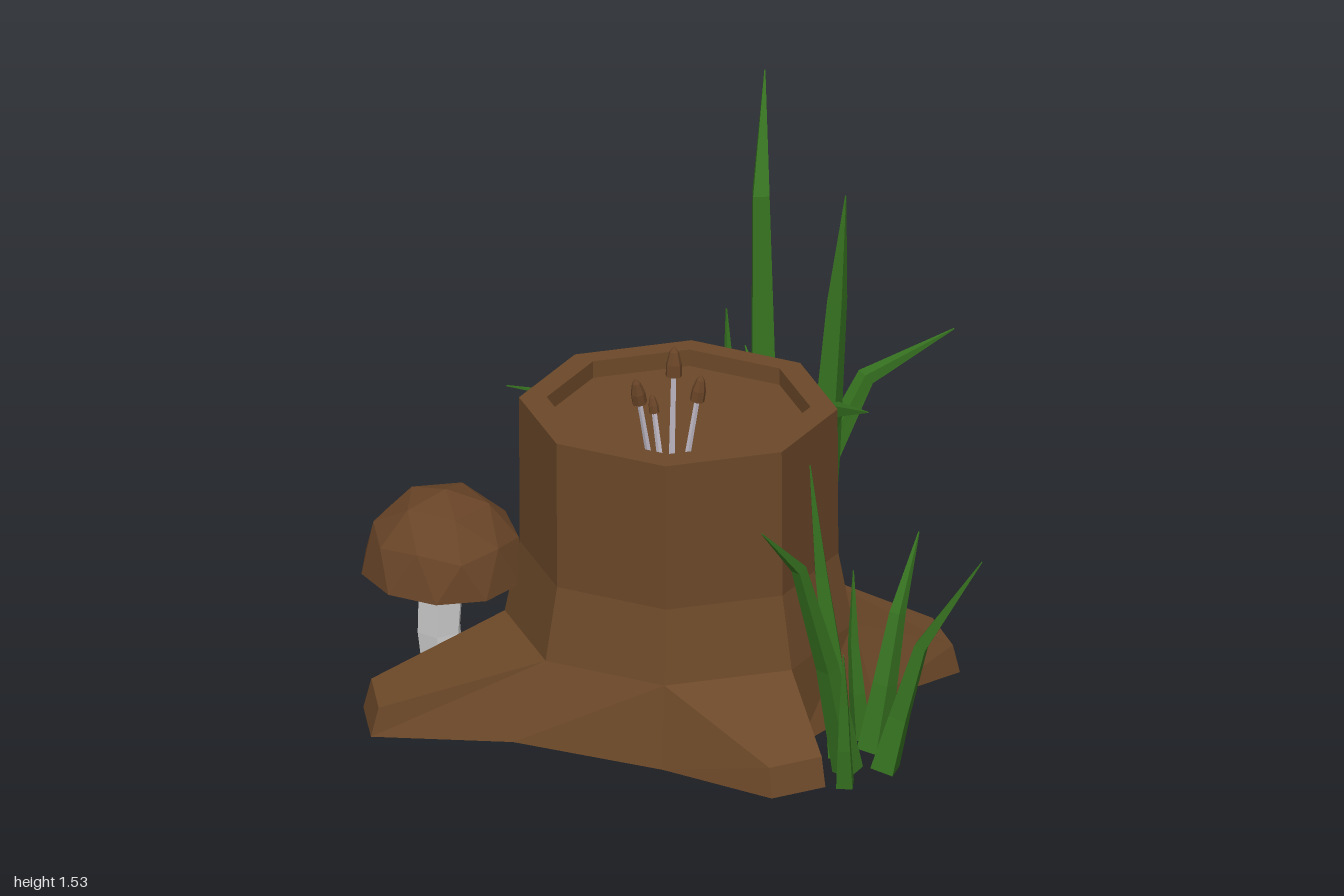
import * as THREE from 'three';

const bark = new THREE.MeshStandardMaterial({ color: 0x6d4929 });
bark.name = 'bark brown';
const capBrown = new THREE.MeshStandardMaterial({ color: 0x684427 });
capBrown.name = 'cap brown';
const stemGrey = new THREE.MeshStandardMaterial({ color: 0xcbcbcb });
stemGrey.name = 'stem grey';
const paleLilac = new THREE.MeshStandardMaterial({ color: 0xc4bdca });
paleLilac.name = 'pale lilac';
const grassGreen = new THREE.MeshStandardMaterial({ color: 0x367220 });
grassGreen.name = 'grass green';

const V = (x, y, z) => new THREE.Vector3(x, y, z);

// Flat-shaded geometry from convex polygons
function fromPolygons(polys) {
  const pos = [];
  for (const p of polys)
    for (let i = 1; i < p.length - 1; i++)
      for (const v of [p[0], p[i], p[i + 1]]) pos.push(v.x, v.y, v.z);
  const g = new THREE.BufferGeometry();
  g.setAttribute('position', new THREE.Float32BufferAttribute(pos, 3));
  g.computeVertexNormals();
  return g;
}

function faceted(g) {
  const f = g.index ? g.toNonIndexed() : g;
  f.computeVertexNormals();
  return f;
}

function mesh(name, geometry, material) {
  const m = new THREE.Mesh(geometry, material);
  m.name = name;
  return m;
}

// Quads joining two rings of equal length
function band(lower, upper) {
  const n = lower.length;
  return lower.map((v, i) => [v, lower[(i + 1) % n], upper[(i + 1) % n], upper[i]]);
}

// Eight-sided ring whose height slopes gently along z
function octagon(r, zc, y, slope) {
  return Array.from({ length: 8 }, (_, i) => {
    const a = i * Math.PI / 4, z = zc + r * Math.cos(a);
    return V(r * Math.sin(a), y + slope * z, z);
  });
}

function createStump() {
  const foot = [[0, 0.065, 0.765], [0.36, 0.058, 0.57], [0.54, 0.045, 0.27], [0.37, 0.04, -0.13],
    [0, 0.05, -0.28], [-0.37, 0.055, -0.13], [-0.49, 0.06, 0.25], [-0.42, 0.063, 0.63]].map(p => V(...p));
  const flare = octagon(0.475, 0.235, 0.245, 0.07);
  const waist = octagon(0.435, 0.225, 0.455, 0.07);
  const rim = octagon(0.435, 0.25, 0.905, 0.07);
  const lip = octagon(0.36, 0.24, 0.905, 0.07);
  const floor = octagon(0.36, 0.24, 0.855, 0.07);

  const polys = [...band(flare, waist), ...band(waist, rim), ...band(rim, lip), ...band(lip, floor), floor];

  // Roots grow from every other side
  const tips = {
    0: [[0.31, 0.07, 0.92], [0.45, 0.07, 0.84]], 2: [[0.75, 0.013, 0.02], [0.68, 0.013, -0.14]],
    4: [[-0.26, 0.047, -0.53], [-0.42, 0.05, -0.47]], 6: [[-0.845, 0.05, 0.43], [-0.81, 0.05, 0.605]],
  };
  const outline = [];
  for (let i = 0; i < 8; i++) {
    const j = (i + 1) % 8;
    outline.push(foot[i]);
    if (!tips[i]) {
      polys.push([foot[i], foot[j], flare[j], flare[i]]);
      continue;
    }
    const [a, b] = tips[i].map(p => V(...p));
    const [ta, tb] = [a, b].map(p => V(p.x * 0.975, p.y + 0.085, 0.25 + (p.z - 0.25) * 0.975));
    outline.push(a, b);
    polys.push([foot[i], a, ta, flare[i]], [a, b, tb, ta], [b, foot[j], flare[j], tb], [ta, tb, flare[j], flare[i]]);
  }
  // Underside
  const c = V(0, 0.055, 0.25);
  outline.forEach((p, i) => polys.push([c, outline[(i + 1) % outline.length], p]));
  return mesh('stump', fromPolygons(polys), bark);
}

function createBigMushroom() {
  const g = new THREE.Group();
  g.name = 'bigMushroom';
  // Upper half of a faceted ball with a flat underside
  const cap = new THREE.IcosahedronGeometry(0.228, 1);
  cap.rotateZ(-Math.atan(2 / (1 + Math.sqrt(5))));
  const p = cap.attributes.position;
  for (let i = 0; i < p.count; i++) p.setY(i, Math.max(0, p.getY(i)) * 1.05);
  const capMesh = mesh('bigMushroomCap', faceted(cap), capBrown);
  capMesh.position.set(-0.647, 0.365, 0.194);
  capMesh.rotation.z = -0.03;

  const ring = (x, y, r) => Array.from({ length: 6 }, (_, i) =>
    V(x + r * Math.sin(i * Math.PI / 3), y, 0.195 + r * Math.cos(i * Math.PI / 3)));
  const rings = [ring(-0.642, 0.01, 0.06), ring(-0.658, 0.18, 0.064), ring(-0.65, 0.37, 0.068)];
  const stem = fromPolygons([...band(rings[0], rings[1]), ...band(rings[1], rings[2]), [...rings[0]].reverse()]);
  g.add(capMesh, mesh('bigMushroomStem', stem, stemGrey));
  return g;
}

// Thin mushroom from its base point to the bottom of its cap
function createSmallMushroom(base, top, size) {
  const g = new THREE.Group();
  g.name = 'smallMushroom';
  const dir = top.clone().sub(base);
  const stem = mesh('smallStem', faceted(new THREE.CylinderGeometry(0.007, 0.008, dir.length(), 4)), paleLilac);
  stem.position.copy(base).add(top).multiplyScalar(0.5);
  const profile = [[0, 0], [0.023, 0.005], [0.022, 0.04], [0.013, 0.075], [0, 0.092]];
  const cap = mesh('smallCap', faceted(new THREE.LatheGeometry(
    profile.map(([r, y]) => new THREE.Vector2(r * size, y * size)), 7)), capBrown);
  cap.position.copy(top);
  for (const m of [stem, cap]) m.quaternion.setFromUnitVectors(V(0, 1, 0), dir.clone().normalize());
  g.add(stem, cap);
  return g;
}

// Square-sectioned blade that bends through its points and narrows to a tip
function createBlade(width, points) {
  const pts = points.map(p => V(...p)), last = pts.length - 1;
  const lean = pts[last].clone().sub(pts[0]);
  const side = V(lean.z, 0, -lean.x).normalize();
  const rings = pts.map((p, i) => {
    const t = pts[Math.min(i + 1, last)].clone().sub(pts[Math.max(i - 1, 0)]).normalize();
    const n = t.clone().cross(side).normalize();
    const r = i === last ? 0.002 : width * Math.SQRT1_2 * (1 - 0.5 * i / (last - 1));
    return [0, 1, 2, 3].map(k => p.clone()
      .addScaledVector(side, r * Math.cos((k + 0.5) * Math.PI / 2))
      .addScaledVector(n, r * Math.sin((k + 0.5) * Math.PI / 2)));
  });
  const polys = [[...rings[0]].reverse(), rings[last]];
  for (let i = 0; i < last; i++) polys.push(...band(rings[i], rings[i + 1]));
  return mesh('grassBlade', fromPolygons(polys), grassGreen);
}

function createGrass(name, blades) {
  const g = new THREE.Group();
  g.name = name;
  for (const [width, ...points] of blades) g.add(createBlade(width, points));
  return g;
}

export function createModel() {
  const model = new THREE.Group();
  model.name = 'treeStump';
  model.add(createStump(), createBigMushroom());

  // Cluster of small mushrooms on the cut top
  for (const [b, t, s] of [
    [[0.005, 0.89, 0.53], [0.008, 1.132, 0.503], 1],
    [[0.045, 0.89, 0.53], [0.073, 1.07, 0.522], 0.9],
    [[-0.055, 0.89, 0.53], [-0.08, 1.075, 0.556], 0.92],
    [[-0.03, 0.89, 0.5], [-0.046, 1.01, 0.485], 0.62],
  ]) model.add(createSmallMushroom(V(...b), V(...t), s));

  // Each blade: base width, then points from base to tip
  model.add(createGrass('backGrass', [
    [0.09, [0.19, 0.005, -0.41], [0.18, 0.55, -0.41], [0.17, 1.22, -0.43], [0.17, 1.535, -0.56]],
    [0.085, [0.31, 0.03, -0.355], [0.35, 0.45, -0.36], [0.385, 0.95, -0.345], [0.41, 1.28, -0.325]],
    [0.075, [0.23, 0.02, -0.48], [0.32, 0.33, -0.54], [0.44, 0.57, -0.63], [0.67, 0.66, -0.76]],
    [0.075, [0.18, 0.03, -0.52], [0.17, 0.22, -0.62], [0.15, 0.4, -0.75], [0.08, 0.46, -1]],
    [0.075, [0.16, 0.02, -0.42], [0.08, 0.35, -0.38], [-0.08, 0.61, -0.31], [-0.5, 0.76, -0.13]],
    [0.08, [0.22, 0.04, -0.32], [0.28, 0.42, -0.22], [0.4, 0.76, -0.06], [0.51, 0.87, 0.16]],
    [0.06, [0.1, 0.02, -0.46], [0.09, 0.3, -0.48], [0.08, 0.55, -0.49], [0.07, 0.83, -0.5]],
    [0.06, [0.15, 0.03, -0.29], [0.14, 0.2, -0.26], [0.14, 0.38, -0.23], [0.12, 0.55, -0.195]],
  ]));

  model.add(createGrass('frontGrass', [
    [0.06, [0.5, 0.06, 0.71], [0.45, 0.4, 0.77], [0.38, 0.75, 0.87], [0.29, 0.92, 1]],
    [0.065, [0.6, 0.06, 0.69], [0.64, 0.22, 0.69], [0.7, 0.44, 0.7], [0.87, 0.73, 0.75]],
    [0.065, [0.56, 0.06, 0.59], [0.59, 0.25, 0.56], [0.62, 0.44, 0.51], [0.67, 0.64, 0.41]],
    [0.065, [0.47, 0.06, 0.61], [0.45, 0.35, 0.61], [0.42, 0.6, 0.61], [0.39, 0.94, 0.62]],
    [0.045, [0.52, 0.06, 0.51], [0.51, 0.2, 0.52], [0.5, 0.35, 0.52], [0.5, 0.57, 0.52]],
    [0.045, [0.5, 0.06, 0.8], [0.5, 0.18, 0.82], [0.5, 0.32, 0.83], [0.5, 0.48, 0.85]],
  ]));
  return model;
}
